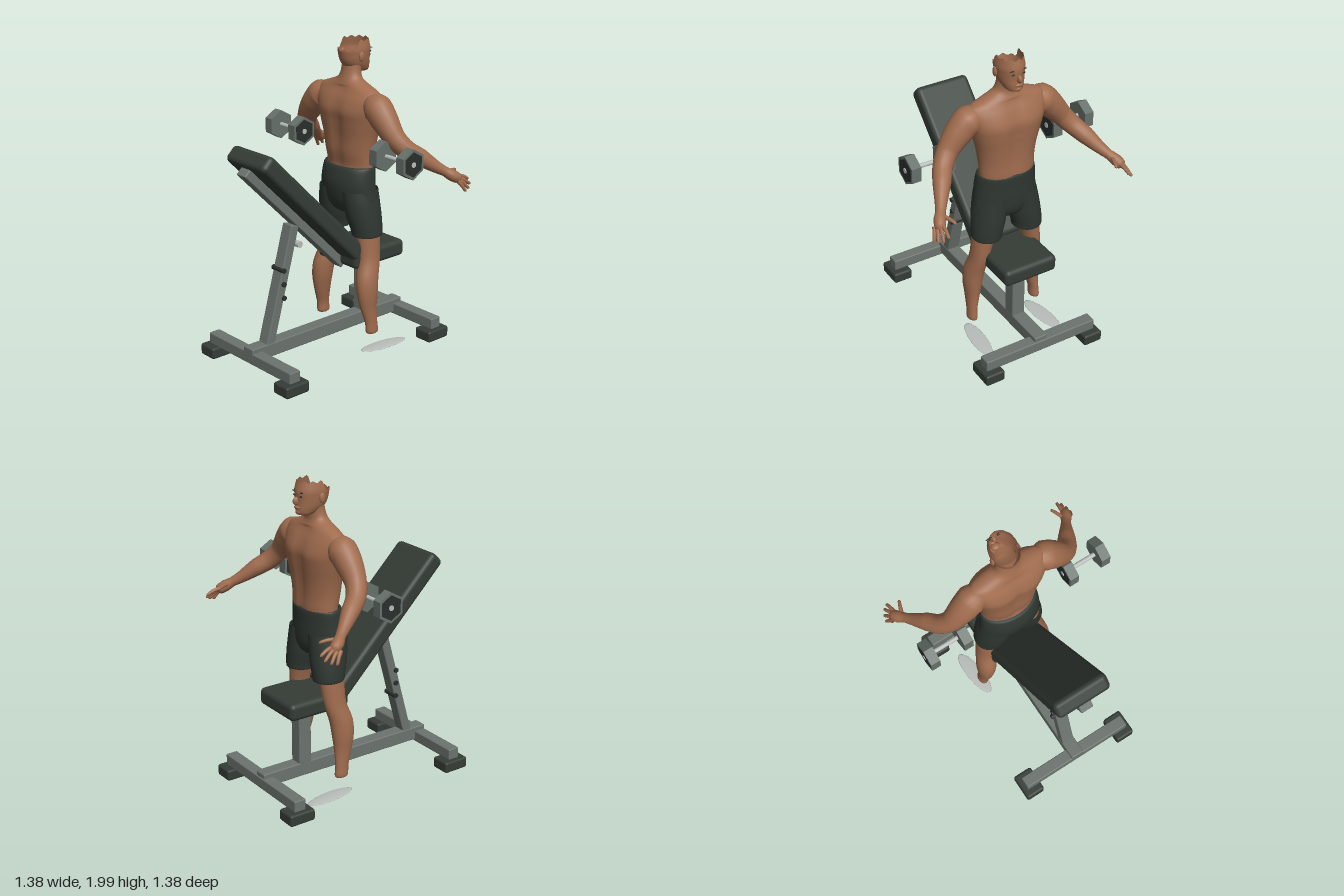
import * as THREE from 'three';
import { mergeVertices, toCreasedNormals } from 'three/addons/utils/BufferGeometryUtils.js';
import { RoundedBoxGeometry } from 'three/addons/geometries/RoundedBoxGeometry.js';

const flat = (name, color, side = THREE.FrontSide) => {
  const m = new THREE.MeshStandardMaterial({ color, side });
  m.name = name;
  return m;
};

export function createModel() {
  const root = new THREE.Group();
  const skin = flat('skin', 0xa06c4e, THREE.DoubleSide);
  const cloth = flat('shortsCloth', 0x2f3731, THREE.DoubleSide);
  const pad = flat('padding', 0x353d36);
  const steel = flat('frameSteel', 0x6c746e);
  const iron = flat('dumbbellIron', 0x66706a);
  const light = flat('lightMetal', 0xb9bebb);
  const dark = flat('darkDetail', 0x2a2f2c);

  const add = (name, geo, mat, pos = [0, 0, 0], parent = root) => {
    const mesh = new THREE.Mesh(geo, mat);
    mesh.name = name;
    mesh.position.set(...pos);
    parent.add(mesh);
    return mesh;
  };
  const box = (name, mat, size, pos, r = 0.008) =>
    add(name, new RoundedBoxGeometry(...size, 3, r), mat, pos);
  const ball = (name, mat, size, pos) => {
    const geo = new THREE.SphereGeometry(1, 16, 12);
    geo.scale(...size);
    return add(name, geo, mat, pos);
  };

  const smooth = (geo) => {
    geo.deleteAttribute('uv');
    geo.deleteAttribute('normal');
    const g = mergeVertices(geo, 1e-5);
    g.computeVertexNormals();
    return g;
  };
  // Upright form through rings [y, centre x, centre z, radius x, radius z], listed bottom to top
  const loft = (rings, warp) => {
    const spline = (f) => new THREE.CatmullRomCurve3(rings.map(f), false, 'catmullrom', 0.5);
    const mid = spline((r) => new THREE.Vector3(r[1], r[0], r[2]));
    const rad = spline((r) => new THREE.Vector3(r[3], 0, r[4]));
    const geo = new THREE.CylinderGeometry(1, 1, 1, 32, (rings.length - 1) * 4, true);
    const p = geo.attributes.position;
    const v = new THREE.Vector3();
    for (let i = 0; i < p.count; i++) {
      const t = geo.attributes.uv.getY(i);
      v.set(p.getX(i), 0, p.getZ(i)).multiply(rad.getPoint(t));
      if (warp) warp(v, mid.getPoint(t).y);
      v.add(mid.getPoint(t));
      p.setXYZ(i, v.x, v.y, v.z);
    }
    return smooth(geo);
  };
  // Round limb along points [x, y, z, radius]
  const limb = (pts, rows = 24, sides = 16) => {
    const curve = new THREE.CatmullRomCurve3(pts.map((q) => new THREE.Vector3(q[0], q[1], q[2])));
    const geo = new THREE.TubeGeometry(curve, rows, 1, sides);
    const p = geo.attributes.position;
    const v = new THREE.Vector3();
    for (let i = 0; i < p.count; i++) {
      const u = Math.floor(i / (sides + 1)) / rows;
      const k = curve.getUtoTmapping(u) * (pts.length - 1);
      const a = Math.min(Math.floor(k), pts.length - 2);
      const r = THREE.MathUtils.lerp(pts[a][3], pts[a + 1][3], k - a);
      const c = curve.getPointAt(u);
      v.fromBufferAttribute(p, i).sub(c).multiplyScalar(r).add(c);
      p.setXYZ(i, v.x, v.y, v.z);
    }
    return smooth(geo);
  };

  // Bench base
  box('mainBeam', steel, [0.09, 0.09, 1.275], [0, 0.14, 0]);
  for (const z of [0.597, -0.605]) {
    box('crossBar', steel, [0.8, 0.075, 0.08], [0, 0.118, z]);
    for (const x of [-0.365, 0.365]) box('rubberFoot', pad, [0.132, 0.075, 0.178], [x, 0.047, z], 0.015);
  }
  box('seatPost', steel, [0.09, 0.38, 0.09], [0, 0.365, -0.327]);
  box('seatPad', pad, [0.37, 0.112, 0.43], [0, 0.612, -0.303], 0.032);

  // Reclined backrest and its strut
  box('backPad', pad, [0.37, 0.113, 1.07], [0, 1.024, 0.232], 0.032).rotation.x = -Math.PI / 4;
  box('backFrame', steel, [0.085, 0.056, 1.08], [0, 0.936, 0.265]).rotation.x = -Math.PI / 4;
  box('strut', steel, [0.085, 0.79, 0.062], [0, 0.53, 0.392]).rotation.x = Math.atan2(-0.215, 0.77);
  const pin = (name, mat, r, len, pos) => {
    add(name, new THREE.CylinderGeometry(r, r, len, 16), mat, pos).rotation.z = Math.PI / 2;
  };
  for (const y of [0.46, 0.55, 0.64]) pin('adjusterPin', dark, 0.016, 0.11, [0, y, 0.385]);
  pin('lockingKnob', light, 0.021, 0.04, [0.048, 0.79, 0.27]);

  // Dumbbells
  const hex = (r1, r2, len) => {
    const geo = new THREE.CylinderGeometry(r1, r2, len, 6);
    geo.rotateY(Math.PI / 6);
    geo.rotateZ(Math.PI / 2);
    return toCreasedNormals(geo, 0.4);
  };
  for (const s of [-1, 1]) {
    const bell = new THREE.Group();
    bell.name = 'dumbbell';
    bell.position.set(s * 0.493, 1.352, -0.122);
    root.add(bell);
    const rod = new THREE.CylinderGeometry(0.014, 0.014, 0.2, 16);
    rod.rotateZ(Math.PI / 2);
    add('handle', rod, light, [0, 0, 0], bell);
    for (const e of [-1, 1]) {
      add('hexWeight', hex(0.095, 0.095, 0.062), iron, [e * 0.115, 0, 0], bell);
      add('weightFace', hex(0.078, 0.078, 0.008), dark, [e * 0.143, 0, 0], bell);
      const bolt = new THREE.CylinderGeometry(0.017, 0.017, 0.008, 16);
      bolt.rotateZ(Math.PI / 2);
      add('endBolt', bolt, light, [e * 0.147, 0, 0], bell);
    }
  }

  // Torso and neck, with a groove down the spine and between the chest muscles
  add('torso', loft([
    [1.15, 0, -0.2, 0.18, 0.115], [1.21, 0, -0.213, 0.183, 0.11], [1.3, 0, -0.205, 0.187, 0.113],
    [1.4, 0, -0.205, 0.203, 0.115], [1.5, 0, -0.205, 0.23, 0.125], [1.57, 0, -0.203, 0.25, 0.132],
    [1.64, 0, -0.2, 0.268, 0.112], [1.69, 0, -0.2, 0.25, 0.087], [1.72, 0, -0.2, 0.18, 0.075],
    [1.755, 0, -0.2, 0.095, 0.063], [1.8, 0, -0.208, 0.07, 0.058], [1.87, 0, -0.22, 0.068, 0.058],
  ], (v, y) => {
    if (y < 1.72) v.z *= 1 - 0.1 * Math.exp(-((v.x / 0.035) ** 2));
    if (y > 1.2 && y < 1.7) v.z *= 1 + 0.25 * Math.min(1, Math.abs(v.x) / 0.2) * Math.sin(Math.PI * (y - 1.2) / 0.5);
  }), skin);

  // Face and jaw below an open, ragged crown
  add('face', loft([
    [1.787, 0, -0.285, 0.004, 0.004], [1.795, 0, -0.28, 0.045, 0.052], [1.83, 0, -0.25, 0.068, 0.09],
    [1.87, 0, -0.235, 0.08, 0.103], [1.93, 0, -0.23, 0.087, 0.112],
  ]), skin);
  const crown = new THREE.CylinderGeometry(1, 1, 1, 48, 5, true);
  const cp = crown.attributes.position;
  for (let i = 0; i < cp.count; i++) {
    const t = cp.getY(i) + 0.5;
    const a = Math.atan2(cp.getX(i), -cp.getZ(i));
    const front = THREE.MathUtils.smoothstep(-cp.getZ(i), -0.5, -0.2);
    const top = 1.935 + 0.058 * front + 0.007 * Math.cos(a * 11);
    const y = THREE.MathUtils.lerp(1.925, top, t);
    const k = 1 - 2.2 * Math.max(0, y - 1.94);
    cp.setXYZ(i, cp.getX(i) * 0.087 * k, y, -0.23 + cp.getZ(i) * 0.112 * k);
  }
  add('crown', smooth(crown), skin);
  ball('nose', skin, [0.014, 0.026, 0.026], [0, 1.878, -0.34]);
  ball('lips', skin, [0.026, 0.01, 0.012], [0, 1.839, -0.338]);
  ball('chin', skin, [0.03, 0.02, 0.025], [0, 1.81, -0.318]);

  for (const s of [-1, 1]) {
    ball('ear', skin, [0.011, 0.032, 0.02], [s * 0.087, 1.895, -0.215]);
    ball('eye', dark, [0.013, 0.005, 0.004], [s * 0.034, 1.908, -0.332]);
    ball('eyebrow', dark, [0.022, 0.004, 0.004], [s * 0.036, 1.932, -0.331]);

    // Arm, palm and fingers
    add('arm', limb([
      [s * 0.17, 1.63, -0.195, 0.06], [s * 0.25, 1.61, -0.192, 0.092], [s * 0.32, 1.545, -0.19, 0.085],
      [s * 0.4, 1.45, -0.2, 0.066], [s * 0.455, 1.385, -0.24, 0.06], [s * 0.505, 1.33, -0.315, 0.055],
      [s * 0.56, 1.265, -0.4, 0.037], [s * 0.59, 1.235, -0.445, 0.03], [s * 0.615, 1.21, -0.48, 0.037],
      [s * 0.635, 1.185, -0.52, 0.033], [s * 0.642, 1.175, -0.535, 0.004],
    ], 48), skin);
    const tips = [[0.63, 1.165, -0.61], [0.657, 1.14, -0.6], [0.676, 1.122, -0.57], [0.684, 1.112, -0.535], [0.56, 1.215, -0.57]];
    tips.forEach(([x, y, z], i) => {
      const thumb = i === 4;
      const base = thumb ? [0.596, 1.225, -0.47] : [0.62 + i * 0.012, 1.198 - i * 0.006, -0.525 + i * 0.012];
      add(thumb ? 'thumb' : 'finger', limb([
        [s * base[0], base[1], base[2], 0.014],
        [s * (base[0] + x) / 2, (base[1] + y) / 2 + 0.006, (base[2] + z) / 2, 0.012],
        [s * x, y, z, 0.009], [s * x, y - 0.002, z - 0.004, 0.001],
      ], 10, 8), skin);
    });

    // Lower leg, shorts leg and shoe sole
    add('leg', loft([
      [0.128, s * 0.235, -0.186, 0.002, 0.002], [0.13, s * 0.235, -0.186, 0.03, 0.044],
      [0.2, s * 0.233, -0.18, 0.031, 0.046], [0.3, s * 0.222, -0.165, 0.044, 0.06],
      [0.4, s * 0.215, -0.16, 0.06, 0.073], [0.5, s * 0.205, -0.168, 0.064, 0.078],
      [0.61, s * 0.188, -0.2, 0.059, 0.076], [0.72, s * 0.172, -0.208, 0.065, 0.08],
      [0.85, s * 0.145, -0.21, 0.08, 0.09],
    ]), skin);
    add('shortsLeg', loft([
      [0.768, s * 0.145, -0.218, 0.083, 0.088], [0.765, s * 0.145, -0.218, 0.094, 0.1],
      [0.8, s * 0.143, -0.217, 0.097, 0.105], [0.88, s * 0.128, -0.208, 0.105, 0.118],
      [0.98, s * 0.112, -0.198, 0.106, 0.126], [1.06, s * 0.1, -0.193, 0.1, 0.13],
    ]), cloth);
    const sole = ball('shoeSole', light, [0.055, 0.007, 0.178], [s * 0.245, 0.013, -0.28]);
    sole.rotation.y = -s * 0.1;
  }

  // Shorts around the hips
  add('shorts', loft([
    [0.89, 0, -0.205, 0.05, 0.03], [0.91, 0, -0.203, 0.15, 0.085], [0.97, 0, -0.198, 0.212, 0.12],
    [1.05, 0, -0.192, 0.209, 0.133], [1.12, 0, -0.19, 0.203, 0.135], [1.2, 0, -0.2, 0.195, 0.126],
    [1.212, 0, -0.205, 0.18, 0.11],
  ]), cloth);

  return root;
}
